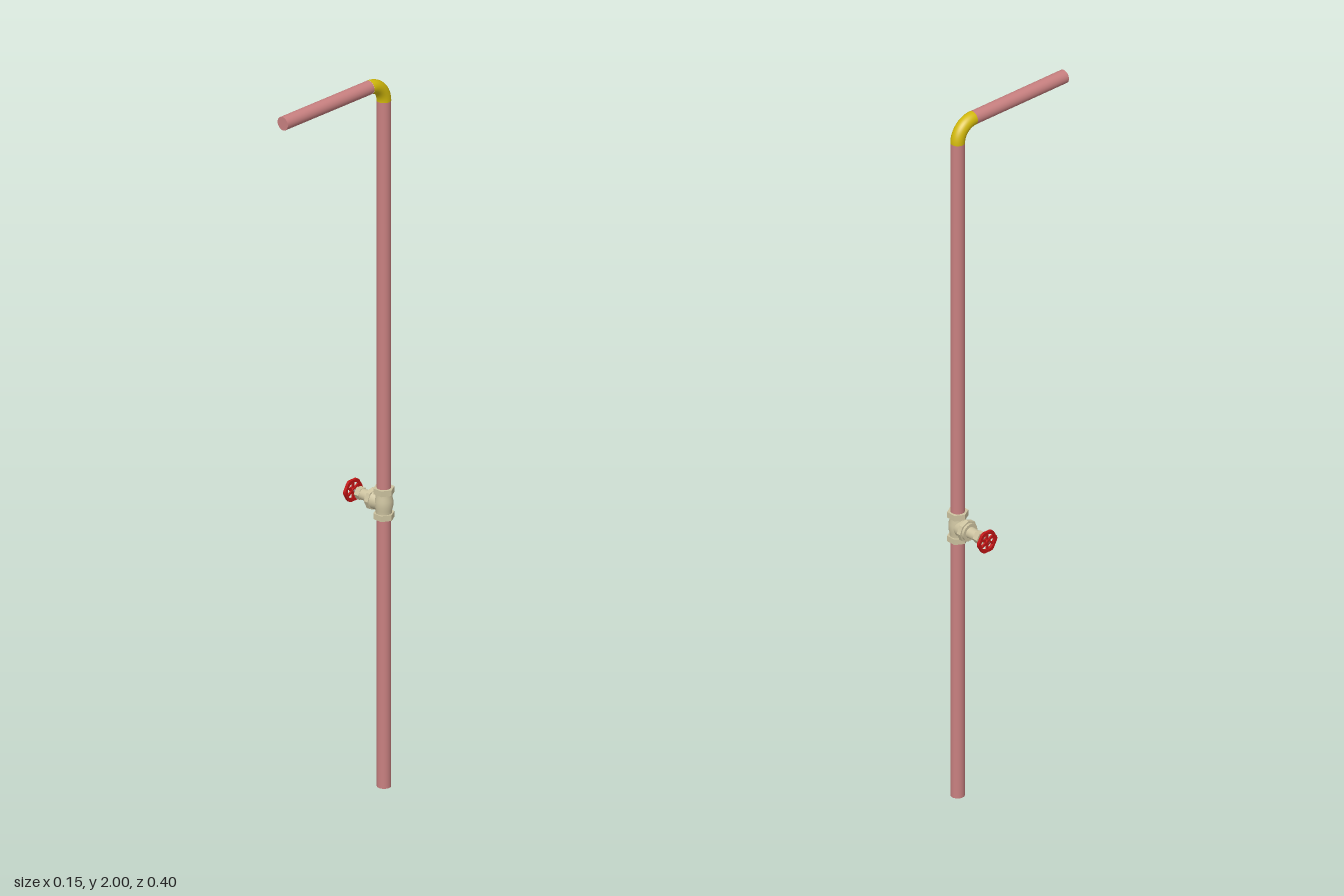
import * as THREE from 'three';

const PX = 0.0445, PZ = -0.169, R = 0.0185; // riser axis and pipe radius
const TOP = 1.9815, BEND = 0.053, VALVE_Y = 0.797;

const paint = (color, flatShading = false) =>
  new THREE.MeshStandardMaterial({ color, flatShading });

function add(parent, name, geometry, material) {
  const mesh = new THREE.Mesh(geometry, material);
  mesh.name = name;
  parent.add(mesh);
  return mesh;
}

// Cylinder along x between x0 and x1, radius r0 at x0 and r1 at x1
function alongX(x0, x1, r0, r1 = r0, sides = 24) {
  const g = new THREE.CylinderGeometry(r1, r0, x1 - x0, sides);
  return g.rotateZ(-Math.PI / 2).translate((x0 + x1) / 2, 0, 0);
}

export function createModel() {
  const model = new THREE.Group();
  const pink = paint(0xc88080), yellow = paint(0xd2b90c);
  const brass = paint(0xcdc3a0), brassFlat = paint(0xcdc3a0, true);
  const red = paint(0xc01414), steel = paint(0x888888);

  // Riser and outlet pipes
  const riserTop = TOP - BEND;
  add(model, 'riserPipe', new THREE.CylinderGeometry(R, R, riserTop, 32), pink)
    .position.set(PX, riserTop / 2, PZ);
  const outletStart = PZ + BEND, outletLength = 0.2 - outletStart;
  add(model, 'outletPipe', new THREE.CylinderGeometry(R, R, outletLength, 32).rotateX(Math.PI / 2), pink)
    .position.set(PX, TOP, outletStart + outletLength / 2);

  // Quarter-turn elbow
  const elbow = new THREE.TorusGeometry(BEND, R + 0.0004, 32, 20, Math.PI / 2);
  elbow.rotateY(Math.PI / 2); // arc now runs from -z up to +y
  add(model, 'elbow', elbow, yellow).position.set(PX, riserTop, outletStart);

  // Valve, centred on the riser
  const valve = new THREE.Group();
  valve.name = 'valve';
  valve.position.set(0, VALVE_Y, PZ);
  model.add(valve);

  const profile = [[0.021, -0.03], [0.0215, -0.018], [0.024, -0.008], [0.024, 0.008], [0.0215, 0.018], [0.021, 0.03]]
    .map(([r, y]) => new THREE.Vector2(r, y));
  add(valve, 'valveBody', new THREE.LatheGeometry(profile, 32), brass).position.x = PX;
  for (const side of [-1, 1]) {
    const nut = new THREE.CylinderGeometry(0.028, 0.028, 0.016, 6).rotateY(Math.PI / 2);
    add(valve, side > 0 ? 'upperNut' : 'lowerNut', nut, brassFlat)
      .position.set(PX, side * 0.035, 0);
  }

  // Bonnet, reaching out towards the hand wheel
  add(valve, 'bodyBranch', alongX(0.014, PX, 0.026, 0.021), brass);
  add(valve, 'bonnetFlange', alongX(0.003, 0.015, 0.030, 0.030, 8), brassFlat);
  add(valve, 'bonnetCollar', alongX(-0.004, 0.003, 0.024), brass);
  add(valve, 'bonnetNeck', alongX(-0.032, -0.004, 0.0145, 0.0155), brass);
  add(valve, 'packingNut', alongX(-0.047, -0.031, 0.0175, 0.0175, 6), brassFlat);
  add(valve, 'stem', alongX(-0.0735, -0.045, 0.0038, 0.0038, 16), steel);

  // Hand wheel: scalloped rim, spokes and hub
  const wheel = new THREE.Group();
  wheel.name = 'handWheel';
  wheel.position.x = -0.067;
  valve.add(wheel);
  const outline = [];
  for (let i = 0; i < 72; i++) {
    const a = i / 72 * Math.PI * 2, r = 0.0306 + 0.0014 * Math.cos(6 * a);
    outline.push(new THREE.Vector2(r * Math.cos(a), r * Math.sin(a)));
  }
  const rimShape = new THREE.Shape(outline);
  rimShape.holes.push(new THREE.Path().absarc(0, 0, 0.0225, 0, Math.PI * 2, true));
  const rim = new THREE.ExtrudeGeometry(rimShape, { depth: 0.008, bevelEnabled: false, curveSegments: 32 });
  rim.translate(0, 0, -0.004).rotateY(Math.PI / 2);
  add(wheel, 'wheelRim', rim, red);
  add(wheel, 'wheelHub', alongX(-0.0065, 0.006, 0.0075), red);
  for (let i = 0; i < 3; i++) {
    const spoke = new THREE.BoxGeometry(0.005, 0.047, 0.006);
    add(wheel, 'wheelSpoke', spoke, red).rotation.x = i * Math.PI / 3;
  }
  return model;
}
